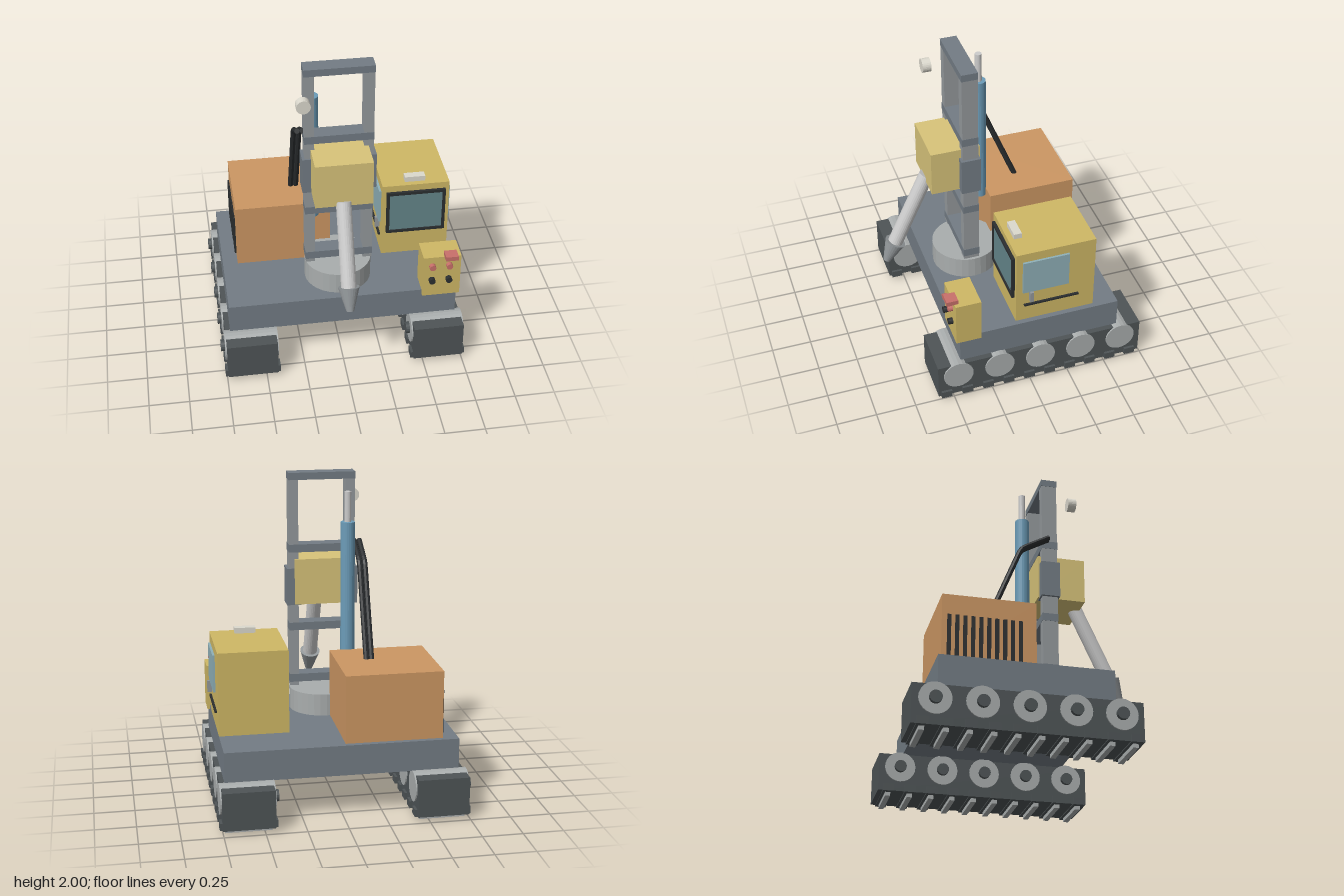
import * as THREE from 'three';

const mat = (color) => new THREE.MeshStandardMaterial({ color, flatShading: true });
const M = {
  steel: mat(0x737c84), light: mat(0xa9adad), post: mat(0x94999c), dark: mat(0x4e5456),
  black: mat(0x2b2e30), orange: mat(0xcc9763), yellow: mat(0xcfb865), paleYellow: mat(0xd8c47a),
  blue: mat(0x6c9cb8), glass: mat(0x8fb0b8), darkGlass: mat(0x64868a), red: mat(0xc8706a),
  lamp: mat(0xdcd9ce), rod: mat(0xcccccc),
};

function add(parent, name, geometry, material) {
  const mesh = new THREE.Mesh(geometry, material);
  mesh.name = name;
  parent.add(mesh);
  return mesh;
}

// Box given by its extents along each axis
function box(parent, name, material, [x0, x1], [y0, y1], [z0, z1]) {
  const m = add(parent, name, new THREE.BoxGeometry(x1 - x0, y1 - y0, z1 - z0), material);
  m.position.set((x0 + x1) / 2, (y0 + y1) / 2, (z0 + z1) / 2);
  return m;
}

// Cylinder or cone running from point a to point b
function rod(parent, name, material, a, b, ra, rb = ra, sides = 24) {
  const A = new THREE.Vector3(...a), B = new THREE.Vector3(...b);
  const dir = B.clone().sub(A);
  const m = add(parent, name, new THREE.CylinderGeometry(rb, ra, dir.length(), sides), material);
  m.position.copy(A).add(B).multiplyScalar(0.5);
  m.quaternion.setFromUnitVectors(new THREE.Vector3(0, 1, 0), dir.normalize());
  return m;
}

function group(parent, name) {
  const g = new THREE.Group();
  g.name = name;
  parent.add(g);
  return g;
}

function buildTrack(root, name, cx) {
  const g = group(root, name);
  const span = (h) => [cx - h, cx + h];
  box(g, 'trackBody', M.dark, span(0.158), [0.03, 0.268], [-0.733, 0.6]);
  // Road wheels with a hub on one side
  for (let i = 0; i < 5; i++) {
    const z = 0.47 - i * 0.2675;
    rod(g, 'roadWheel', M.light, [cx - 0.167, 0.185, z], [cx + 0.167, 0.185, z], 0.095);
    rod(g, 'wheelHub', M.dark, [cx - 0.191, 0.185, z], [cx - 0.15, 0.185, z], 0.037, 0.037, 16);
  }
  // Track pads with grousers below
  for (let i = 0; i < 10; i++) {
    const z = 0.55 - i * 0.1355;
    box(g, 'trackPad', M.dark, span(0.174), [0.024, 0.07], [z - 0.034, z + 0.034]);
    box(g, 'grouser', M.light, span(0.142), [0, 0.03], [z - 0.016, z + 0.016]);
  }
}

function buildMast(root) {
  const g = group(root, 'mast');
  const zs = [0.16, 0.258], cx = 0.006;
  for (const s of [-1, 1]) {
    const x = cx + s * 0.18;
    box(g, 'mastPost', M.post, [x - 0.029, x + 0.029], [0.622, 1.98], zs);
    box(g, 'guideClamp', M.steel, [x - 0.046, x + 0.046], [1.158, 1.395], [0.15, 0.27]);
  }
  for (const [y0, y1] of [[0.645, 0.697], [0.99, 1.04], [1.497, 1.547], [1.955, 2]])
    box(g, 'crossbar', M.steel, [-0.205, 0.217], [y0, y1], [0.158, 0.26]);
  box(g, 'carriage', M.paleYellow, [-0.167, 0.183], [1.163, 1.455], [0.14, 0.445]);

  // Slanted boring arm with a tapered tip
  const joint = [cx, 0.705, 0.647];
  rod(g, 'boringArm', M.rod, [cx, 1.185, 0.427], joint, 0.047);
  rod(g, 'boringTip', M.post, joint, [cx, 0.568, 0.709], 0.066, 0.024);

  // Hydraulic lift and work lamp
  rod(g, 'liftCylinder', M.blue, [-0.136, 0.84, 0.045], [-0.136, 1.705, 0.045], 0.045);
  rod(g, 'liftRod', M.rod, [-0.136, 1.6, 0.045], [-0.136, 1.895, 0.045], 0.021);
  rod(g, 'workLamp', M.lamp, [-0.221, 1.823, 0.323], [-0.221, 1.823, 0.376], 0.043);
}

function buildCab(root) {
  const g = group(root, 'cab');
  const cx = 0.521, half = 0.214;
  box(g, 'cabBody', M.yellow, [cx - half, cx + half], [0.508, 1.028], [-0.408, 0.095]);
  // Windscreen and its frame
  box(g, 'windscreen', M.darkGlass, [0.345, 0.698], [0.695, 0.972], [0.09, 0.106]);
  box(g, 'windscreenFrame', M.black, [0.333, 0.352], [0.68, 0.984], [0.09, 0.114]);
  box(g, 'windscreenFrame', M.black, [0.691, 0.71], [0.68, 0.984], [0.09, 0.114]);
  box(g, 'windscreenFrame', M.black, [0.352, 0.691], [0.965, 0.984], [0.09, 0.114]);
  box(g, 'windscreenFrame', M.black, [0.352, 0.691], [0.68, 0.699], [0.09, 0.114]);
  box(g, 'roofLight', M.lamp, [0.455, 0.585], [1.025, 1.063], [0.01, 0.06]);
  // Side window, handle and trim on both sides
  for (const s of [-1, 1]) {
    const out = (a, b) => [cx + s * a, cx + s * b].sort((p, q) => p - q);
    box(g, 'sideWindow', M.glass, out(0.205, 0.228), [0.733, 0.967], [-0.237, 0.055]);
    box(g, 'doorHandle', M.post, out(0.21, 0.243), [0.662, 0.735], [-0.009, 0.012]);
    box(g, 'doorTrim', M.black, out(0.205, 0.228), [0.624, 0.635], [-0.306, 0.045]);
  }
}

function buildControls(root) {
  const g = group(root, 'controlBox');
  box(g, 'controlBody', M.yellow, [0.503, 0.74], [0.438, 0.732], [0.315, 0.475]);
  for (const x of [0.558, 0.665])
    for (const [y, m] of [[0.669, M.red], [0.563, M.black]])
      rod(g, 'button', m, [x, y, 0.46], [x, y, 0.503], 0.02, 0.02, 16);
  box(g, 'stopSwitch', M.red, [0.633, 0.712], [0.73, 0.76], [0.45, 0.522]);
}

function buildEngine(root) {
  const g = group(root, 'engine');
  box(g, 'engineHousing', M.orange, [-0.616, -0.014], [0.46, 0.89], [-0.551, 0.01]);
  // Cooling slots
  for (let i = 0; i < 10; i++) {
    const z = -0.508 + i * 0.047;
    box(g, 'coolingSlot', M.black, [-0.627, -0.61], [0.487, 0.76], [z - 0.011, z + 0.011]);
  }
  // Pair of hoses up to the mast
  for (const x of [-0.239, -0.206]) {
    const path = new THREE.CurvePath();
    const p = [[0.19, 1.553], [0.04, 1.47], [0.0, 1.42], [-0.222, 0.87]]
      .map(([z, y]) => new THREE.Vector3(x, y, z));
    path.add(new THREE.LineCurve3(p[0], p[1]));
    path.add(new THREE.QuadraticBezierCurve3(p[1], new THREE.Vector3(x, 1.455, 0.014), p[2]));
    path.add(new THREE.LineCurve3(p[2], p[3]));
    add(g, 'hose', new THREE.TubeGeometry(path, 30, 0.017, 8), M.black);
    rod(g, 'hoseEnd', M.black, [x, 1.553, 0.19], [x, 1.556, 0.195], 0.017, 0.017, 8);
  }
}

export function createModel() {
  const root = new THREE.Group();
  root.name = 'drillingRig';
  buildTrack(root, 'rightTrack', -0.586);
  buildTrack(root, 'leftTrack', 0.595);
  box(root, 'platform', M.steel, [-0.712, 0.725], [0.275, 0.465], [-0.583, 0.448]);
  rod(root, 'turntable', M.light, [0.006, 0.46, 0.19], [0.006, 0.605, 0.19], 0.21, 0.21, 32);
  buildMast(root);
  buildEngine(root);
  buildCab(root);
  buildControls(root);
  return root;
}
